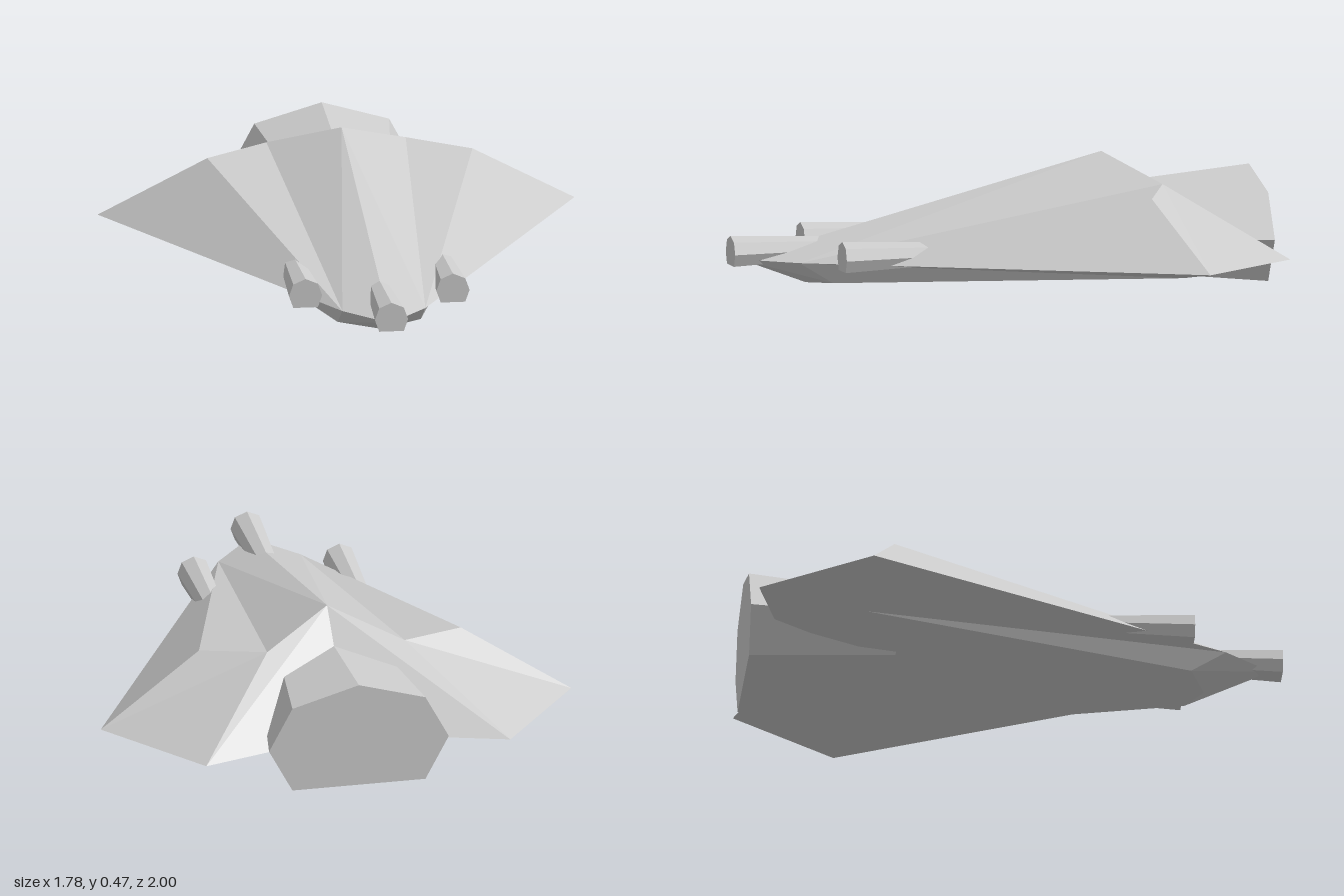
import * as THREE from 'three';

const material = new THREE.MeshStandardMaterial({ color: 0xcccccc, flatShading: true });

// Flat-shaded mesh from convex polygons, each turned to face away from an inner point
function facetedMesh(name, polygons, inside) {
  const positions = [];
  const centre = new THREE.Vector3(...inside);
  for (const polygon of polygons) {
    const p = polygon.map((c) => new THREE.Vector3(...c));
    for (let i = 1; i < p.length - 1; i++) {
      const tri = [p[0], p[i], p[i + 1]];
      const normal = tri[1].clone().sub(tri[0]).cross(tri[2].clone().sub(tri[0]));
      if (normal.dot(tri[0].clone().sub(centre)) < 0) tri.reverse();
      for (const v of tri) positions.push(v.x, v.y, v.z);
    }
  }
  const geometry = new THREE.BufferGeometry();
  geometry.setAttribute('position', new THREE.Float32BufferAttribute(positions, 3));
  geometry.computeVertexNormals();
  const mesh = new THREE.Mesh(geometry, material);
  mesh.name = name;
  return mesh;
}

// Seven-sided section shared by the engine and the cannons
const section = [[0, 1], [0.74, 0.64], [1, -0.18], [0.74, -1], [-0.74, -1], [-1, -0.18], [-0.74, 0.64]];

// Tapered prism along z: full size at zFull, scaled by taper at zSmall
function taperedPrism(name, x, y, halfWidth, halfHeight, zFull, zSmall, taper) {
  const ring = (z, s) => section.map(([u, v]) => [x + u * halfWidth * s, y + v * halfHeight * s, z]);
  const big = ring(zFull, 1);
  const small = ring(zSmall, taper);
  const sides = big.map((p, i) => {
    const j = (i + 1) % big.length;
    return [p, big[j], small[j], small[i]];
  });
  return facetedMesh(name, [big, small, ...sides], [x, y, (zFull + zSmall) / 2]);
}

function createHull() {
  // Centre line
  const apex = [0, 0.475, -0.43];
  const nose = [0, 0.125, 0.96];
  const keel = [0, 0.03, 0.71];
  const belly = [0, 0.065, -0.59];
  const tail = [0, 0.125, -0.82];
  // Left half
  const shoulder = [0.26, 0.38, -0.59];
  const wingTop = [0.495, 0.36, -0.48];
  const wingTip = [0.89, 0.125, -0.59];
  const wingRear = [0.575, 0.125, -0.99];
  const cheek = [0.155, 0.125, 0.78];
  const chin = [0.155, 0.045, 0.65];
  const wingBottom = [0.53, 0.065, -0.59];

  const half = [
    // Upper deck
    [apex, nose, cheek], [apex, cheek, shoulder], [shoulder, cheek, wingTop], [wingTop, cheek, wingTip],
    // Rear slopes
    [shoulder, wingTop, wingTip, wingRear], [apex, shoulder, wingRear, tail],
    // Underside
    [nose, cheek, chin, keel], [cheek, wingTip, wingBottom, chin], [keel, chin, wingBottom, belly],
    [wingBottom, wingTip, wingRear], [belly, wingBottom, wingRear, tail],
  ];
  const mirrored = half.map((polygon) => polygon.map(([x, y, z]) => [-x, y, z]));
  return facetedMesh('hull', [...half, ...mirrored], [0, 0.2, -0.4]);
}

export function createModel() {
  const model = new THREE.Group();
  model.name = 'spacecraft';
  model.add(createHull());

  // Engine block narrowing forward into the hull
  model.add(taperedPrism('engine', 0, 0.2025, 0.34, 0.2025, -1, -0.45, 0.75));

  // Cannons narrowing backward into the hull
  model.add(taperedPrism('noseCannon', 0, 0.16, 0.062, 0.055, 1, 0.5, 0.62));
  for (const [side, x] of [['left', 0.275], ['right', -0.275]]) {
    model.add(taperedPrism(side + 'Cannon', x, 0.16, 0.062, 0.055, 0.65, 0.15, 0.62));
  }
  return model;
}
